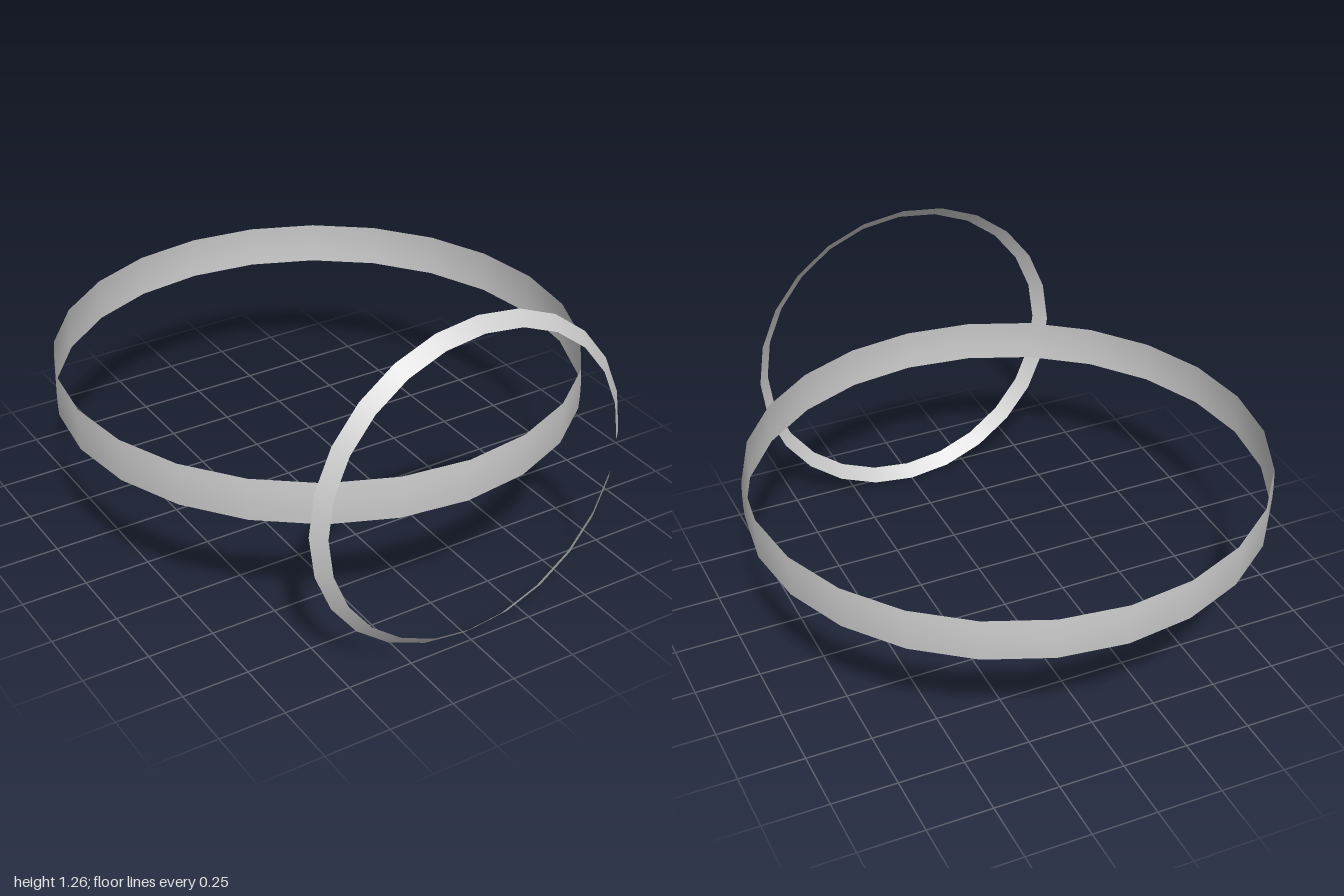
import * as THREE from 'three';

const SIDES = 24;
const material = new THREE.MeshStandardMaterial({ color: 0xcccccc, side: THREE.DoubleSide });

// Thin open band turned from a profile of [radius, height] pairs
function band(name, profile) {
  const points = profile.map(([r, h]) => new THREE.Vector2(r, h));
  const mesh = new THREE.Mesh(new THREE.LatheGeometry(points, SIDES), material);
  mesh.name = name;
  return mesh;
}

export function createModel() {
  const group = new THREE.Group();
  group.name = 'linkedRings';

  // Large horizontal band, slightly bulged like a slice of a sphere
  const radius = 0.976, half = 0.081;
  const profile = [-1, -0.5, 0, 0.5, 1].map((t) => {
    const h = t * half;
    return [Math.sqrt(radius * radius - h * h), h];
  });
  const largeBand = band('largeBand', profile);
  largeBand.position.set(0, 0.632, -0.024);
  group.add(largeBand);

  // Small upright bevelled ring in front, narrowing towards the front
  const frontRing = band('frontRing', [[0.63, 0.954], [0.584, 1]]);
  frontRing.rotation.x = Math.PI / 2;
  frontRing.position.y = 0.63;
  group.add(frontRing);

  return group;
}
